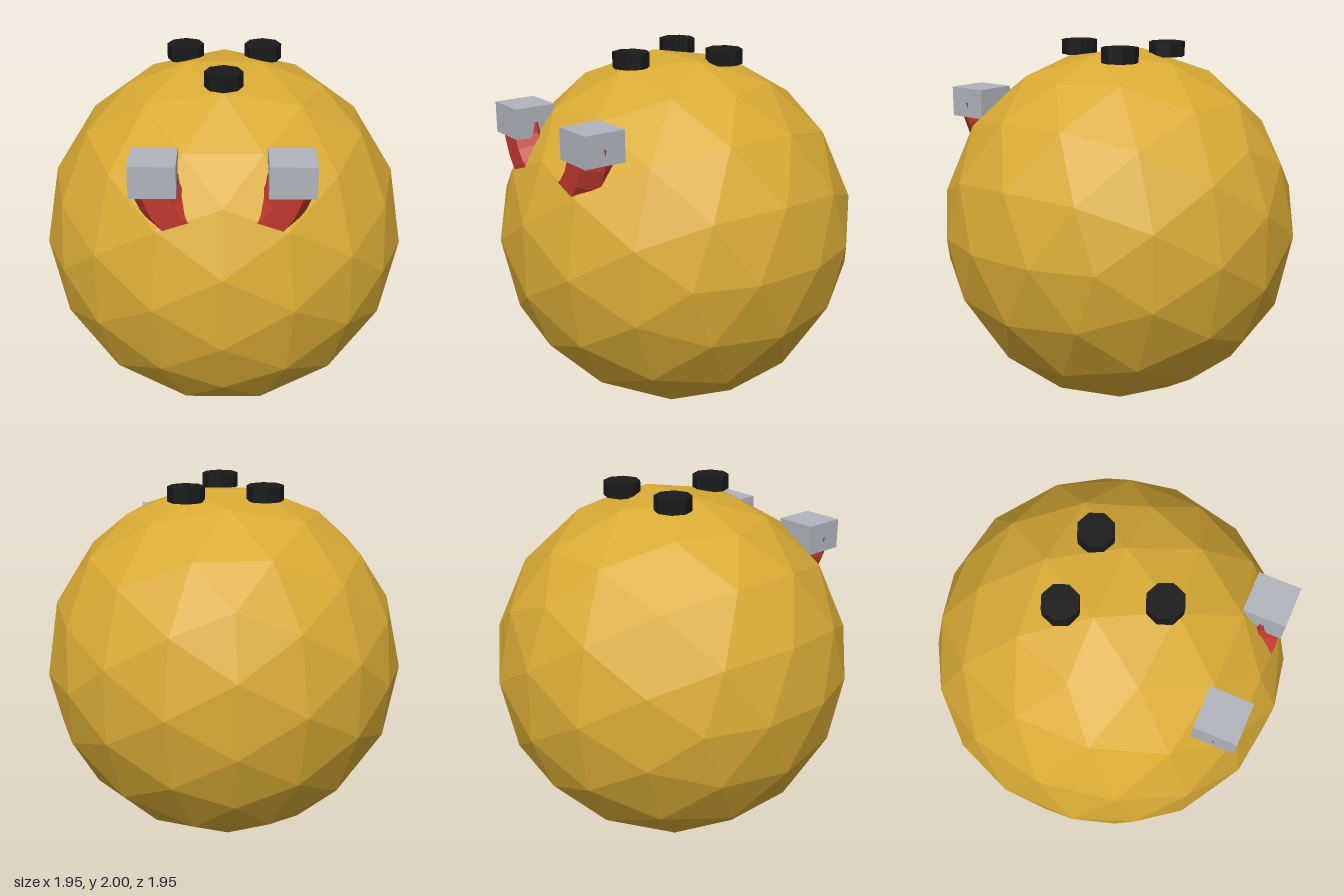
import * as THREE from 'three';

const paint = (color) => new THREE.MeshStandardMaterial({ color, flatShading: true });

export function createModel() {
  const model = new THREE.Group();
  const gold = paint(0xd9ab35);
  const red = paint(0xc0392f);
  const steel = paint(0xb0b4bc);
  const black = paint(0x1a1a1a);

  const add = (name, geometry, material, x, y, z) => {
    const mesh = new THREE.Mesh(geometry, material);
    mesh.name = name;
    mesh.position.set(x, y, z);
    model.add(mesh);
    return mesh;
  };

  // Faceted ball
  add('ball', new THREE.IcosahedronGeometry(0.997, 2), gold, 0, 0.977, 0);

  // Horseshoe magnet sunk into the front, its two ends emerging
  const magnet = add('magnetArc', new THREE.TorusGeometry(0.335, 0.12, 6, 12, Math.PI), red, 0, 1.647, 0.75);
  magnet.rotation.z = Math.PI;

  // Steel tips on the magnet ends
  const tip = new THREE.BoxGeometry(0.23, 0.165, 0.23);
  add('leftMagnetTip', tip, steel, 0.335, 1.647, 0.75);
  add('rightMagnetTip', tip, steel, -0.335, 1.647, 0.75);

  // Three finger holes shown as dark plugs on top
  const plug = new THREE.CylinderGeometry(0.1, 0.1, 0.08, 8);
  [[0.21, -0.17], [-0.21, -0.17], [0, 0.29]].forEach(([x, z], i) =>
    add(`fingerHole${i + 1}`, plug, black, x, 1.96, z));

  return model;
}
